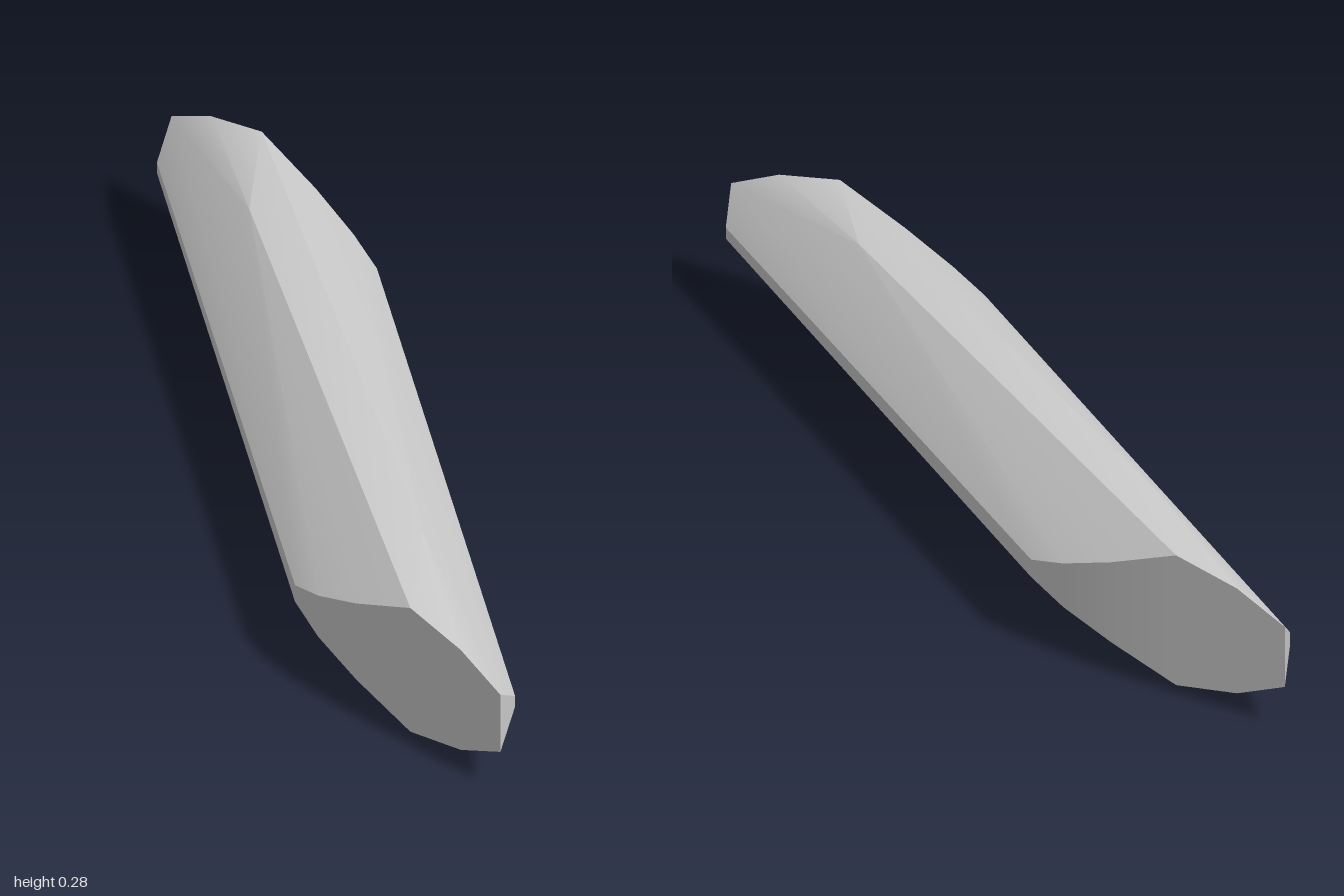
import * as THREE from 'three';
import { ConvexGeometry } from 'three/addons/geometries/ConvexGeometry.js';
import { toCreasedNormals } from 'three/addons/utils/BufferGeometryUtils.js';

// Corners of one half of the bar; the other half is its half turn about y.
const halfCorners = [
  // vertical end face, counter-clockwise from its far edge
  [0.475, 0.08, -1], [0.475, 0.2, -1], [0.475, 0.247, -0.89], [0.475, 0.275, -0.75],
  [0.475, 0.22, -0.6], [0.475, 0.06, -0.6], [0.475, 0.015, -0.75], [0.475, 0.037, -0.89],
  // rounded corner running into the long narrow edge
  [0.462, 0.18, -0.48], [0.462, 0.093, -0.48], [0.44, 0.155, -0.39], [0.44, 0.12, -0.39],
  // pointed bevel at the far tip
  [0.4, 0.15, -0.955], [0.4, 0.128, -0.955],
  // crowns of the top and the underside
  [0.27, 0.275, -0.55], [0.27, 0, -0.55], [0.41, 0, -0.7],
];

export function createModel() {
  const group = new THREE.Group();
  group.name = 'slantedBar';

  const points = [];
  for (const [x, y, z] of halfCorners) {
    points.push(new THREE.Vector3(x, y, z), new THREE.Vector3(-x, y, -z));
  }

  // Faceted solid with softly shaded shallow facets and sharp edges
  const geometry = toCreasedNormals(new ConvexGeometry(points), 0.45);
  const bar = new THREE.Mesh(geometry, new THREE.MeshStandardMaterial({ color: 0xcccccc }));
  bar.name = 'bar';
  group.add(bar);
  return group;
}
